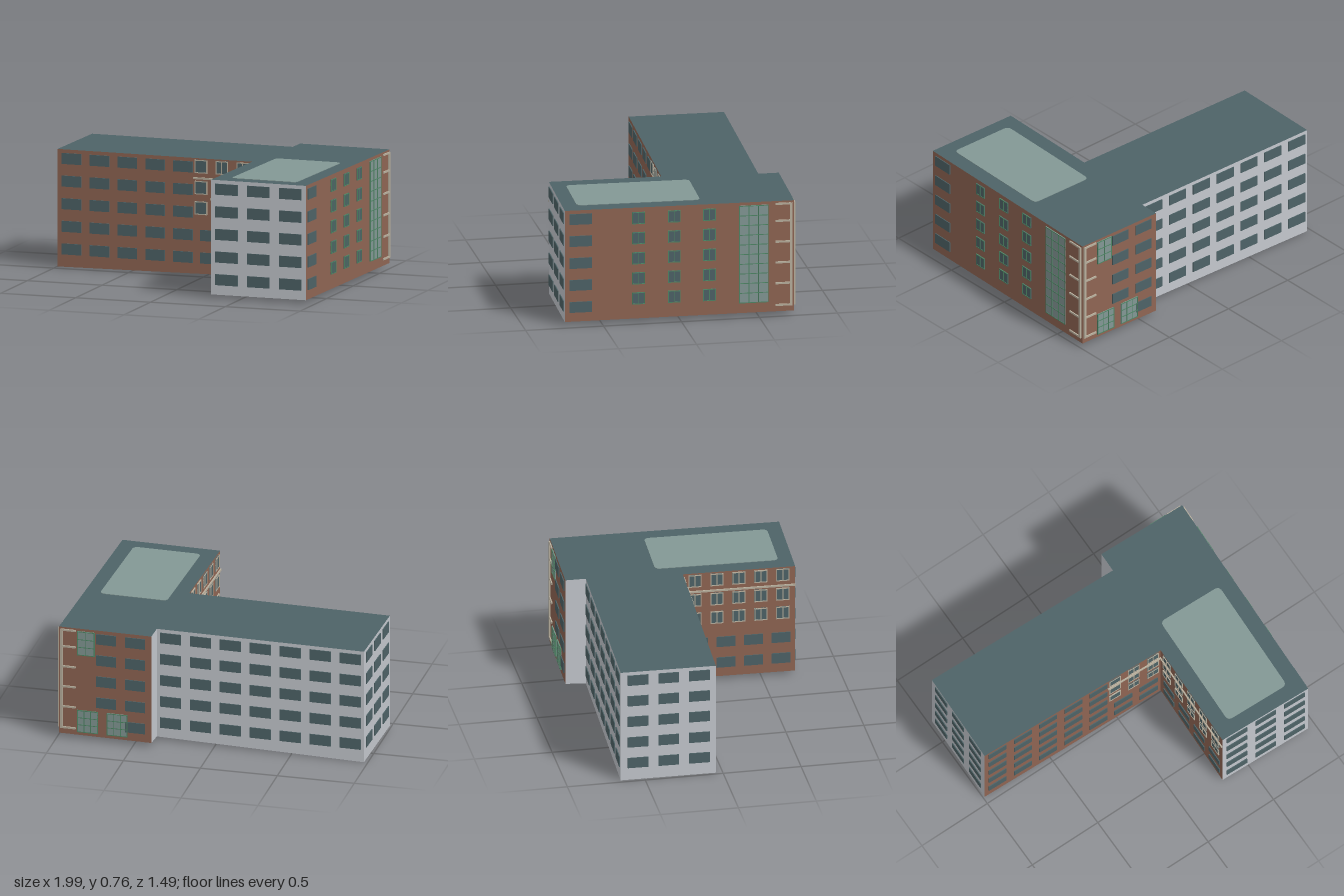
import * as THREE from 'three';

const mat = (name, color) => {
  const m = new THREE.MeshStandardMaterial({ color });
  m.name = name;
  return m;
};

export function createModel() {
  const brick = mat('brick', 0x8f6553);
  const render = mat('pale grey render', 0xc4c8ce);
  const slate = mat('slate glass and roof', 0x4e6367);
  const glass = mat('pale glass', 0x839895);
  const green = mat('green frame', 0x4f8766);
  const stone = mat('stone trim', 0xb9b09e);

  const model = new THREE.Group();
  model.name = 'cornerBuilding';
  const TOP = 0.755;

  // Footprint corners [x, z, ground height], so each wall runs left to right seen from outside
  const H = [-0.99, -0.045, 0.004], G = [0.325, 0, 0.022], F = [0.305, 0.717, 0.022], E = [0.945, 0.738, 0.024];
  const D = [0.988, -0.725, 0.03], C = [0.383, -0.743, 0.028], B = [0.381, -0.612, 0.02], A = [-0.975, -0.653, 0];
  const corners = [H, G, F, E, D, C, B, A];

  const add = (parent, name, geo, material) => {
    const m = new THREE.Mesh(geo, material);
    m.name = name;
    parent.add(m);
    return m;
  };

  // Wall with its own frame: u along the wall, y up, z outward
  function wall(name, p, q, material) {
    const g = new THREE.Group();
    g.name = name;
    const dx = q[0] - p[0], dz = q[1] - p[1], len = Math.hypot(dx, dz);
    g.position.set(p[0], 0, p[1]);
    g.rotation.y = Math.atan2(-dz, dx);
    const s = new THREE.Shape([[0, p[2]], [len, q[2]], [len, TOP], [0, TOP]].map(c => new THREE.Vector2(...c)));
    add(g, name + 'Surface', new THREE.ShapeGeometry(s), material);
    model.add(g);
    return g;
  }

  // Thin plate standing on a wall
  function plate(w, name, u0, u1, y0, y1, material, depth = 0.006) {
    const m = add(w, name, new THREE.BoxGeometry(u1 - u0, y1 - y0, depth), material);
    m.position.set((u0 + u1) / 2, (y0 + y1) / 2, depth / 2);
  }

  // Pane with frame and a grid of glazing bars
  function framed(w, name, u0, u1, y0, y1, cols, rows, pane, frame, t = 0.006) {
    plate(w, name + 'Pane', u0, u1, y0, y1, pane, 0.005);
    for (let i = 0; i <= cols; i++) {
      const u = u0 + t / 2 + (u1 - u0 - t) * i / cols;
      plate(w, name + 'Upright', u - t / 2, u + t / 2, y0, y1, frame, 0.008);
    }
    for (let j = 0; j <= rows; j++) {
      const y = y0 + t / 2 + (y1 - y0 - t) * j / rows;
      plate(w, name + 'Crossbar', u0, u1, y - t / 2, y + t / 2, frame, 0.0075);
    }
  }

  // Plain windows; storey 0 is the lowest
  function windows(w, starts, width, from = 0, to = 4) {
    for (const u of starts)
      for (let r = from; r <= to; r++)
        plate(w, 'window', u, u + width, 0.084 + r * 0.1445, 0.154 + r * 0.1445, slate);
  }
  const series = (start, step, n) => Array.from({ length: n }, (_, i) => start + i * step);

  // Front wall of the long wing
  const front = wall('longWingFront', H, G, brick);
  windows(front, series(0.03, 0.1885, 5), 0.131);
  windows(front, series(0.967, 0.19, 2), 0.134, 0, 1);
  for (const y of [0.395, 0.525, 0.66]) {
    [[0.93, 1], [1.07, 2], [1.213, 2]].forEach(([u, n]) =>
      framed(front, 'trimmedWindow', u, u + 0.084, y, y + 0.085, n, 1, slate, stone));
  }
  plate(front, 'stoneBand', 0.92, 1.314, 0.621, 0.633, stone, 0.009);

  // Inner courtyard wall
  const inner = wall('courtyardWall', G, F, brick);
  windows(inner, series(0.04, 0.175, 4), 0.12, 0, 1);
  for (const y of [0.395, 0.525, 0.66])
    for (const u of series(0.035, 0.14, 5))
      framed(inner, 'trimmedWindow', u, u + 0.084, y, y + 0.085, 2, 1, slate, stone);
  plate(inner, 'stoneBand', 0, 0.717, 0.621, 0.633, stone, 0.009);

  // Short wing end
  windows(wall('shortWingEnd', F, E, render), series(0.03, 0.215, 3), 0.151);

  // Long side wall with stair glazing
  const side = wall('sideWall', E, D, brick);
  windows(side, [0.03], 0.142);
  for (const u of [0.43, 0.657, 0.882])
    for (const y of series(0.12, 0.132, 5))
      framed(side, 'greenWindow', u, u + 0.081, y, y + 0.078, 2, 1, slate, green, 0.005);
  framed(side, 'stairGlazing', 1.11, 1.3, 0.094, 0.735, 3, 10, glass, green, 0.005);

  // Back of the short wing
  const back = wall('shortWingBack', D, C, brick);
  windows(back, [0.245], 0.13, 1, 4);
  windows(back, [0.435], 0.13);
  framed(back, 'stairWindow', 0.12, 0.235, 0.575, 0.738, 2, 3, glass, green, 0.005);
  for (const u of [0.12, 0.315])
    framed(back, 'entranceGlazing', u, u + 0.135, 0.05, 0.2, 3, 3, glass, green, 0.005);

  // Stone ladder trim wrapping the corner
  plate(side, 'cornerStrip', 1.437, 1.452, 0.066, 0.742, stone, 0.009);
  plate(back, 'cornerStrip', 0.01, 0.025, 0.066, 0.742, stone, 0.009);
  for (const y of [0.072, 0.215, 0.352, 0.488, 0.625, 0.737]) {
    plate(side, 'cornerBar', 1.343, 1.44, y - 0.006, y + 0.006, stone, 0.008);
    plate(back, 'cornerBar', 0.022, 0.11, y - 0.006, y + 0.006, stone, 0.008);
  }

  // Grey back and end walls
  wall('backReturn', C, B, render);
  windows(wall('longWingBack', B, A, render), series(0.022, 0.196, 7), 0.138);
  windows(wall('longWingEnd', A, H, render), series(0.045, 0.195, 3), 0.133);

  // Roof and sloping underside
  const roof = new THREE.ShapeGeometry(new THREE.Shape(corners.map(c => new THREE.Vector2(c[0], -c[1]))));
  roof.rotateX(-Math.PI / 2).translate(0, TOP, 0);
  add(model, 'roof', roof, slate);

  const base = new THREE.ShapeGeometry(new THREE.Shape(corners.map(c => new THREE.Vector2(c[0], c[1]))));
  base.rotateX(Math.PI / 2);
  const pos = base.attributes.position;
  for (let i = 0; i < pos.count; i++) {
    const c = corners.find(k => Math.hypot(k[0] - pos.getX(i), k[1] - pos.getZ(i)) < 1e-4);
    pos.setY(i, c[2]);
  }
  base.computeVertexNormals();
  add(model, 'underside', base, render);

  // Rounded skylight on the short wing
  const w = 0.22, d = 0.393, r = 0.035;
  const sky = new THREE.Shape();
  sky.moveTo(-w + r, -d);
  sky.lineTo(w - r, -d).quadraticCurveTo(w, -d, w, -d + r);
  sky.lineTo(w, d - r).quadraticCurveTo(w, d, w - r, d);
  sky.lineTo(-w + r, d).quadraticCurveTo(-w, d, -w, d - r);
  sky.lineTo(-w, -d + r).quadraticCurveTo(-w, -d, -w + r, -d);
  const skyGeo = new THREE.ExtrudeGeometry(sky, { depth: 0.003, bevelEnabled: false, curveSegments: 6 });
  skyGeo.rotateX(-Math.PI / 2);
  const skylight = add(model, 'skylight', skyGeo, glass);
  skylight.position.set(0.639, TOP, 0.242);
  skylight.rotation.y = -0.03;

  return model;
}
